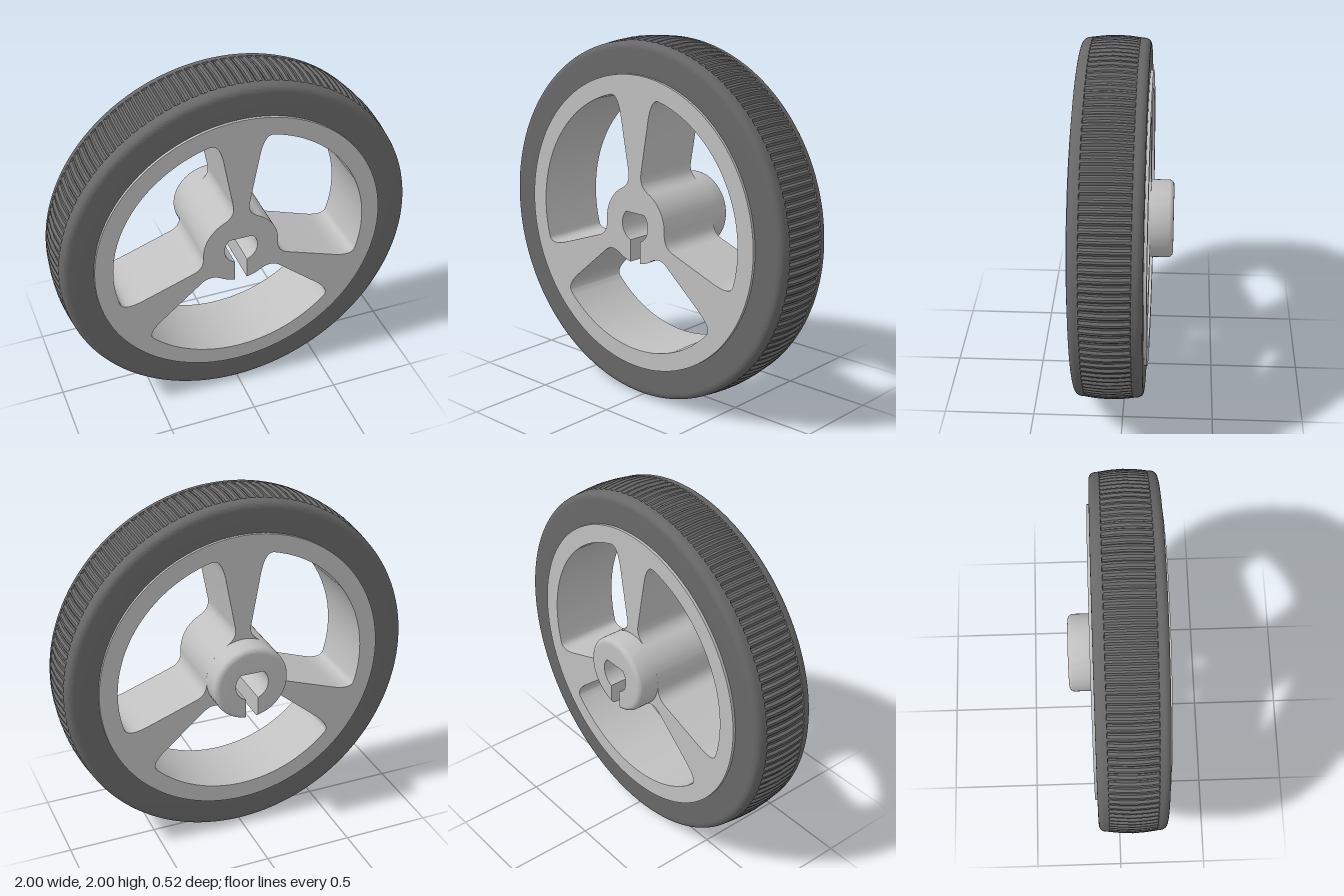
import * as THREE from 'three';
import { toCreasedNormals } from 'three/addons/utils/BufferGeometryUtils.js';

const RIM_R = 0.815, WINDOW_R = 0.715, HUB_R = 0.215, BORE_R = 0.095, SLOT = 0.035;
const BACK = -0.135, FRONT = 0.265, MID = 0.065;
const V = (x, y) => new THREE.Vector2(x, y);

// Points on a circle from angle a to angle b
function arc(r, a, b, n) {
  return Array.from({ length: n + 1 }, (_, i) => {
    const t = a + (b - a) * i / n;
    return V(r * Math.cos(t), r * Math.sin(t));
  });
}

// D-shaped bore, open at the bottom where the slot enters
function borePoints() {
  const slotAngle = Math.asin(SLOT / BORE_R) - Math.PI / 2;
  return [
    ...arc(BORE_R, slotAngle, Math.PI / 4, 14),
    ...arc(BORE_R, Math.PI * 0.75, Math.PI - slotAngle, 14),
  ];
}
const hubSlotAngle = Math.asin(SLOT / HUB_R) - Math.PI / 2;

// Opening between two spokes, centred straight down; the lower one joins the bore
function windowPoints(withSlot) {
  const d = V(Math.cos(-Math.PI / 6), Math.sin(-Math.PI / 6));
  const at = (along, side) => V(along * d.x + side * d.y, along * d.y - side * d.x);
  const curve = (a, b, c) => new THREE.QuadraticBezierCurve(at(...a), at(...b), at(...c)).getPoints(10);
  const right = [
    ...curve([0.693, 0.176], [0.706, 0.122], [0.58, 0.099]),
    ...curve([0.29, 0.046], [0.225, 0.034], [0.19, 0.1]),
  ];
  const left = right.map(p => V(-p.x, p.y)).reverse();
  const angle = p => Math.atan2(p.y, p.x);
  const outer = angle(right[0]), inner = angle(right[right.length - 1]);
  const rim = arc(WINDOW_R, -Math.PI - outer, outer, 48).slice(1, -1);
  const hub = withSlot
    ? [...arc(HUB_R, inner, hubSlotAngle, 10).slice(1), ...borePoints(),
       ...arc(HUB_R, -Math.PI - hubSlotAngle, -Math.PI - inner, 10).slice(0, -1)]
    : arc(HUB_R, inner, -Math.PI - inner, 24).slice(1, -1);
  return [...rim, ...right, ...hub, ...left];
}

// Rim, spokes and hub core as one pierced disc
function wheelGeometry() {
  const shape = new THREE.Shape(arc(RIM_R, 0, Math.PI * 2, 128).slice(0, -1));
  for (let i = 0; i < 3; i++) {
    const pts = windowPoints(i === 0).map(p => p.rotateAround(V(0, 0), i * Math.PI * 2 / 3));
    shape.holes.push(new THREE.Path(pts));
  }
  const geo = new THREE.ExtrudeGeometry(shape, { depth: FRONT - BACK, bevelEnabled: false });
  geo.translate(0, 0, BACK);
  return toCreasedNormals(geo, 0.5);
}

// Slotted collar behind the wheel with a rounded outer edge
function collarGeometry() {
  const steps = 7, round = 0.03;
  const shape = new THREE.Shape([
    ...arc(HUB_R, hubSlotAngle, Math.PI - hubSlotAngle, 64),
    ...borePoints().reverse(),
  ]);
  const geo = new THREE.ExtrudeGeometry(shape, { depth: 1, steps, bevelEnabled: false });
  const pos = geo.attributes.position;
  for (let i = 0; i < pos.count; i++) {
    const k = Math.round(pos.getZ(i) * steps);
    const x = pos.getX(i), y = pos.getY(i);
    if (k === steps) { pos.setZ(i, BACK); continue; }
    const t = k / (steps - 1) * Math.PI / 2;
    pos.setZ(i, -0.26 + round * (1 - Math.cos(t)));
    if (Math.hypot(x, y) > 0.2) {
      const s = 1 - round * (1 - Math.sin(t)) / HUB_R;
      const onSlot = y < 0 && Math.abs(x) < SLOT + 0.001;
      pos.setXY(i, onSlot ? x : x * s, y * s);
    }
  }
  return toCreasedNormals(geo, 0.5);
}

// Small concave web where a spoke meets the collar
function webGeometry() {
  const s = new THREE.Shape();
  s.moveTo(0.2, 0);
  s.lineTo(0.275, 0);
  s.quadraticCurveTo(0.22, 0.005, 0.212, 0.06);
  s.lineTo(0.2, 0.06);
  const geo = new THREE.ExtrudeGeometry(s, { depth: 0.08, bevelEnabled: false });
  geo.translate(0, 0, -0.04);
  geo.rotateX(-Math.PI / 2);
  return toCreasedNormals(geo, 0.5);
}

// Tyre with a crowned tread cut by cross grooves
function tyreGeometry() {
  const shoulder = new THREE.QuadraticBezierCurve(V(0.945, -0.185), V(0.986, -0.186), V(0.987, -0.14)).getPoints(8);
  const half = [V(0.8, -0.185), ...shoulder, V(0.988, -0.129), V(0.989, -0.126), V(0.996, -0.07)];
  const profile = [...half, V(1, 0), ...half.map(p => V(p.x, -p.y)).reverse()];
  const grooves = 128;
  const geo = new THREE.LatheGeometry(profile, grooves * 4);
  const pos = geo.attributes.position;
  for (let i = 0; i < pos.count; i++) {
    const column = Math.floor(i / profile.length);
    if (column % 4 < 2 || Math.abs(pos.getY(i)) > 0.127) continue;
    const s = 1 - 0.011;
    pos.setX(i, pos.getX(i) * s);
    pos.setZ(i, pos.getZ(i) * s);
  }
  geo.rotateX(Math.PI / 2);
  geo.translate(0, 0, MID);
  return toCreasedNormals(geo, 0.5);
}

export function createModel() {
  const plastic = new THREE.MeshStandardMaterial({ color: 0xc0c0c0 });
  plastic.name = 'light grey plastic';
  const rubber = new THREE.MeshStandardMaterial({ color: 0x686868 });
  rubber.name = 'dark grey rubber';

  const group = new THREE.Group();
  group.name = 'wheel';
  const add = (name, geo, mat) => {
    const mesh = new THREE.Mesh(geo, mat);
    mesh.name = name;
    mesh.position.y = 1;
    group.add(mesh);
    return mesh;
  };

  add('rimAndSpokes', wheelGeometry(), plastic);
  add('hubCollar', collarGeometry(), plastic);
  add('tyre', tyreGeometry(), rubber);
  const web = webGeometry();
  for (let i = 0; i < 3; i++) {
    add('spokeWeb', web, plastic).rotation.z = Math.PI / 2 + i * Math.PI * 2 / 3;
  }
  return group;
}
